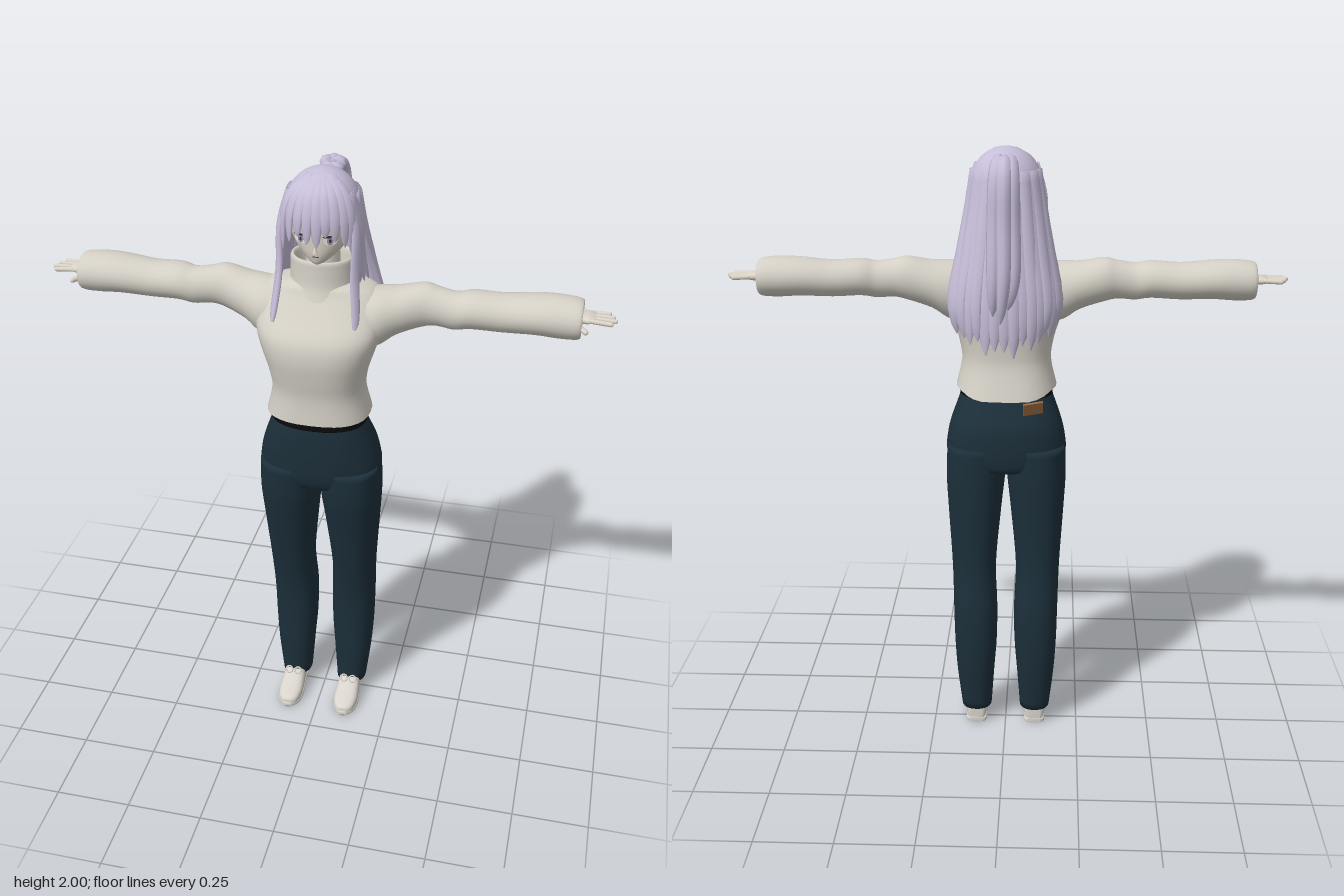
import * as THREE from 'three';

const V = (x, y, z) => new THREE.Vector3(x, y, z);
const mat = (name, color, side = THREE.FrontSide) => {
  const m = new THREE.MeshStandardMaterial({ color, side });
  m.name = name;
  return m;
};

// Skin over rings of points; optional end caps
function skin(rings, capStart = true, capEnd = true) {
  const n = rings[0].length, pos = [], idx = [];
  rings.forEach(r => r.forEach(p => pos.push(p.x, p.y, p.z)));
  for (let i = 0; i < rings.length - 1; i++) for (let j = 0; j < n; j++) {
    const a = i * n + j, b = i * n + (j + 1) % n;
    idx.push(a, b, b + n, a, b + n, a + n);
  }
  const cap = (i, flip) => {
    const c = V(0, 0, 0);
    rings[i].forEach(p => c.addScaledVector(p, 1 / n));
    const k = pos.length / 3;
    pos.push(c.x, c.y, c.z);
    for (let j = 0; j < n; j++) {
      const a = i * n + j, b = i * n + (j + 1) % n;
      flip ? idx.push(k, b, a) : idx.push(k, a, b);
    }
  };
  if (capStart) cap(0, true);
  if (capEnd) cap(rings.length - 1, false);
  const g = new THREE.BufferGeometry();
  g.setAttribute('position', new THREE.Float32BufferAttribute(pos, 3));
  g.setIndex(idx);
  g.computeVertexNormals();
  return g;
}

// Superellipse ring round c with half axes A and B
function ring(c, A, B, e = 2, n = 24) {
  const f = v => Math.sign(v) * Math.abs(v) ** (2 / e);
  return Array.from({ length: n }, (_, j) => {
    const t = j / n * Math.PI * 2;
    return c.clone().addScaledVector(A, f(Math.cos(t))).addScaledVector(B, f(Math.sin(t)));
  });
}

// Resample rows of numbers with a Catmull-Rom spline
function smooth(rows, k = 4) {
  const out = [], at = i => rows[Math.min(Math.max(i, 0), rows.length - 1)];
  for (let i = 0; i < rows.length - 1; i++) for (let s = 0; s < k; s++) {
    const t = s / k;
    out.push(rows[i].map((p, c) => {
      const a = at(i - 1)[c], q = at(i + 1)[c], d = at(i + 2)[c];
      return p + 0.5 * t * (q - a + t * (2 * a - 5 * p + 4 * q - d + t * (3 * (p - q) + d - a)));
    }));
  }
  out.push(rows[rows.length - 1]);
  return out;
}

// Rows [y, xMin, xMax, zBack, zFront], from bottom to top
const upright = (rows, e, cs, ce, k) => skin(smooth(rows, k).map(([y, x0, x1, z0, z1]) =>
  ring(V((x0 + x1) / 2, y, (z0 + z1) / 2), V(0, 0, (z1 - z0) / 2), V((x1 - x0) / 2, 0, 0), e, 32)), cs, ce);

// Tapered, flattened strand whose flat side faces away from the head
function strand(points, width, thick, tip = 0.08, steps = 14) {
  const curve = new THREE.CatmullRomCurve3(points.map(p => V(...p)));
  const rings = [];
  for (let i = 0; i <= steps; i++) {
    const t = i / steps, p = curve.getPoint(t), d = curve.getTangent(t);
    const out = p.clone().sub(V(0, Math.min(p.y, 1.85), 0.03));
    out.addScaledVector(d, -out.dot(d)).normalize();
    const side = d.clone().cross(out);
    const w = t < 0.6 ? 1 : tip + (1 - tip) * Math.sqrt(1 - ((t - 0.6) / 0.4) ** 2);
    rings.push(ring(p, out.multiplyScalar(thick * w), side.multiplyScalar(width * w), 2, 8));
  }
  return skin(rings);
}

export function createModel() {
  const root = new THREE.Group();
  const sweater = mat('sweater wool', 0xd3cfc5, THREE.DoubleSide), skinTone = mat('skin', 0xdcd4c8);
  const hair = mat('lilac hair', 0xc6bdd8), denim = mat('dark trousers', 0x1c2f3a, THREE.DoubleSide);
  const black = mat('black belt', 0x0b0b0d), leather = mat('brown patch', 0x9a6a40);
  const shoeMat = mat('shoe', 0xd8d4cc), dark = mat('lash', 0x37303c);
  const white = mat('eye white', 0xeeece8), iris = mat('iris', 0x9a93a8);
  const add = (name, geo, m, parent = root) => {
    const mesh = new THREE.Mesh(geo, m);
    mesh.name = name;
    parent.add(mesh);
    return mesh;
  };
  const sym = ([y, hx, zb, zf]) => [y, -hx, hx, zb, zf];

  // Sweater body, with the hem hanging lower at the back
  const body = upright([[1.225, 0.165, -0.06, 0.208], [1.31, 0.146, -0.045, 0.205], [1.38, 0.155, -0.045, 0.216],
    [1.45, 0.176, -0.05, 0.224], [1.51, 0.194, -0.055, 0.212], [1.57, 0.198, -0.057, 0.165],
    [1.62, 0.185, -0.05, 0.128], [1.645, 0.15, -0.04, 0.115], [1.66, 0.08, -0.02, 0.1]].map(sym), 2.5, false, true);
  const bp = body.attributes.position;
  for (let i = 0; i < bp.count; i++) {
    const f = Math.max(0, 1 - (bp.getY(i) - 1.225) / 0.08) * Math.min(1, Math.max(0, -bp.getZ(i) / 0.05));
    bp.setY(i, bp.getY(i) - 0.022 * f);
    bp.setZ(i, bp.getZ(i) - 0.018 * f);
  }
  body.computeVertexNormals();
  add('sweater body', body, sweater);
  add('collar', upright([[1.61, 0.112, -0.065, 0.135], [1.65, 0.101, -0.058, 0.121], [1.7, 0.099, -0.055, 0.117],
    [1.725, 0.098, -0.053, 0.116], [1.732, 0.092, -0.047, 0.11], [1.72, 0.084, -0.04, 0.1],
    [1.67, 0.08, -0.036, 0.096]].map(sym), 2, false, false), sweater);

  // Trousers and waistband
  add('trouser seat', upright([[0.945, 0.1, -0.05, 0.13], [0.96, 0.17, -0.072, 0.165], [1.0, 0.198, -0.08, 0.184],
    [1.06, 0.194, -0.08, 0.19], [1.11, 0.182, -0.072, 0.192], [1.17, 0.16, -0.045, 0.191],
    [1.21, 0.147, -0.027, 0.186]].map(sym), 2.3, true, true), denim);
  add('belt', upright([[1.195, 0.153, -0.037, 0.191], [1.215, 0.149, -0.033, 0.19],
    [1.235, 0.146, -0.03, 0.188]].map(sym), 2.3), black);
  const patch = add('waist patch', new THREE.BoxGeometry(0.065, 0.045, 0.008), leather);
  patch.position.set(-0.09, 1.175, -0.05);
  patch.rotation.set(-0.4, 0.25, 0);

  for (const s of [1, -1]) {
    const side = s > 0 ? 'left' : 'right';
    // Leg
    add(side + ' trouser leg', upright([[0.06, 0.05, 0.153, -0.06, 0.06], [0.2, 0.04, 0.168, -0.08, 0.067],
      [0.32, 0.031, 0.175, -0.09, 0.069], [0.45, 0.029, 0.178, -0.09, 0.076], [0.6, 0.034, 0.182, -0.073, 0.105],
      [0.8, 0.016, 0.194, -0.077, 0.15], [0.92, 0.003, 0.2, -0.08, 0.177], [1.03, 0, 0.196, -0.078, 0.186]]
      .map(([y, a, b, c, d]) => [y, Math.min(s * a, s * b), Math.max(s * a, s * b), c, d]), 2.3, true, true), denim);

    // Shoe: rows [z, half width, height]
    const shoe = new THREE.Group();
    shoe.name = side + ' shoe';
    shoe.position.x = s * 0.102;
    root.add(shoe);
    add('shoe upper', skin(smooth([[-0.044, 0.02, 0.08], [-0.035, 0.033, 0.1], [0, 0.036, 0.105], [0.045, 0.038, 0.095],
      [0.08, 0.041, 0.072], [0.12, 0.042, 0.054], [0.155, 0.033, 0.042], [0.172, 0.015, 0.03]])
      .map(([z, w, h]) => ring(V(0, h / 2, z), V(w, 0, 0), V(0, h / 2, 0), 2.7))), shoeMat, shoe);
    add('sole', skin(smooth([[-0.046, 0.02], [-0.035, 0.035], [0.02, 0.035], [0.1, 0.044], [0.15, 0.037], [0.175, 0.014]])
      .map(([z, w]) => ring(V(0, 0.009, z), V(w, 0, 0), V(0, 0.009, 0), 4))), shoeMat, shoe);
    for (const k of [-1, 1]) {
      const bow = add('lace bow', new THREE.TorusGeometry(0.012, 0.003, 6, 12), shoeMat, shoe);
      bow.position.set(k * 0.016, 0.088, 0.073);
      bow.rotation.x = -0.6;
    }

    // Sleeve: rows [x, bottom, top, back, front], turned inward at the cuff
    const sleeve = smooth([[0.08, 1.46, 1.63, -0.04, 0.13], [0.17, 1.45, 1.64, -0.054, 0.135],
      [0.235, 1.49, 1.643, -0.052, 0.108], [0.31, 1.517, 1.657, -0.046, 0.08], [0.355, 1.526, 1.648, -0.036, 0.076],
      [0.41, 1.522, 1.64, -0.033, 0.082], [0.46, 1.53, 1.647, -0.047, 0.087], [0.55, 1.527, 1.643, -0.054, 0.082],
      [0.65, 1.53, 1.652, -0.065, 0.088], [0.72, 1.526, 1.654, -0.063, 0.087], [0.775, 1.528, 1.648, -0.058, 0.084],
      [0.782, 1.54, 1.636, -0.046, 0.072], [0.74, 1.55, 1.625, -0.036, 0.06]]);
    add(side + ' sleeve', skin(sleeve.map(([x, y0, y1, z0, z1]) =>
      ring(V(s * x, (y0 + y1) / 2, (z0 + z1) / 2), V(0, (y1 - y0) / 2, 0), V(0, 0, s * (z1 - z0) / 2))), true, false), sweater);

    // Hand: palm, four fingers and a thumb
    const hand = new THREE.Group();
    hand.name = side + ' hand';
    root.add(hand);
    add('palm', skin([[0.72, 0.02, 0.024], [0.76, 0.015, 0.03], [0.8, 0.013, 0.038], [0.822, 0.008, 0.036]].map(([x, h, w]) =>
      ring(V(s * x, 1.593, 0.006), V(0, h, 0), V(0, 0, s * w), 2.5, 16))), skinTone, hand);
    const digit = (name, a, b, r) => {
      const m = add(name, new THREE.CapsuleGeometry(r, a.distanceTo(b), 4, 8), skinTone, hand);
      m.position.copy(a).lerp(b, 0.5);
      m.quaternion.setFromUnitVectors(V(0, 1, 0), b.clone().sub(a).normalize());
    };
    [0.86, 0.872, 0.88, 0.868].forEach((x, i) => {
      const z = -0.025 + i * 0.02;
      digit('finger', V(s * 0.81, 1.594, z), V(s * x, 1.592, z * 1.15), 0.0075);
    });
    digit('thumb', V(s * 0.755, 1.588, 0.035), V(s * 0.798, 1.58, 0.085), 0.008);

    // Eye: thin layered plates following the cheek
    const eye = new THREE.Group();
    eye.name = side + ' eye';
    eye.position.set(s * 0.044, 1.812, 0.128);
    eye.rotation.y = s * 0.4;
    root.add(eye);
    const plate = (name, w, h, y, z, m) => {
      const p = add(name, new THREE.CircleGeometry(1, 20), m, eye);
      p.scale.set(w, h, 1);
      p.position.set(0, y, z);
    };
    plate('eye white', 0.021, 0.014, 0, 0, white);
    plate('iris', 0.01, 0.013, 0, 0.001, iris);
    plate('pupil', 0.004, 0.006, 0, 0.002, dark);
    plate('upper lash', 0.023, 0.0035, 0.013, 0.002, dark);

    // Long front lock and the side hair over the ear
    add(side + ' front lock', strand([[s * 0.09, 1.93, 0.09], [s * 0.114, 1.84, 0.1], [s * 0.115, 1.7, 0.115],
      [s * 0.124, 1.6, 0.14], [s * 0.13, 1.53, 0.165]], 0.018, 0.009), hair);
    [0.085, 0.06, 0.035].forEach((z, i) => add(side + ' side lock', strand([[s * 0.09, 1.94, z], [s * 0.117, 1.84, z],
      [s * 0.12, 1.75, z - 0.01], [s * (0.122 + i * 0.006), 1.66 - i * 0.01, z - 0.02 - i * 0.012]], 0.022, 0.008), hair));
  }

  // Head, neck, nose and mouth
  add('head', upright([[1.728, 0.012, 0.085, 0.115], [1.738, 0.032, 0.04, 0.122], [1.765, 0.064, -0.02, 0.129],
    [1.8, 0.088, -0.05, 0.132], [1.85, 0.101, -0.07, 0.135], [1.9, 0.098, -0.065, 0.132],
    [1.95, 0.07, -0.03, 0.1]].map(sym), 2), skinTone);
  add('neck', new THREE.CylinderGeometry(0.05, 0.055, 0.14, 20), skinTone).position.set(0, 1.71, 0.03);
  const nose = add('nose', new THREE.ConeGeometry(0.008, 0.024, 8), skinTone);
  nose.position.set(0, 1.783, 0.133);
  add('mouth', new THREE.BoxGeometry(0.018, 0.002, 0.004), dark).position.set(0, 1.757, 0.127);

  // Hair cap, lower at the back than over the brow
  const cap = new THREE.SphereGeometry(1, 40, 20, 0, Math.PI * 2, 0, 1.75);
  const cp = cap.attributes.position;
  for (let i = 0; i < cp.count; i++) {
    let y = cp.getY(i);
    if (cp.getZ(i) > 0.2) y = Math.max(y, 0.25);
    cp.setXYZ(i, cp.getX(i) * 0.116, 1.872 + y * 0.126, 0.028 + cp.getZ(i) * 0.12);
  }
  cap.computeVertexNormals();
  add('hair cap', cap, hair);

  // Fringe
  [-0.098, -0.075, -0.048, -0.02, 0.008, 0.034, 0.06, 0.085, 0.1].forEach((x, i) => {
    const z = 0.03 + 0.124 * Math.sqrt(1 - (x / 0.13) ** 2);
    const end = [1.77, 1.8, 1.825, 1.805, 1.795, 1.83, 1.815, 1.795, 1.77][i];
    add('fringe lock', strand([[x * 0.3, 1.985, 0.06], [x * 0.75, 1.95, 0.03 + (z - 0.03) * 0.78],
      [x, 1.89, z - 0.002], [x * 1.04, end, z + 0.002]], 0.018, 0.007), hair);
  });

  // Long back hair fanned round the back of the head
  for (let i = 0; i < 17; i++) {
    const a = (i / 8 - 1) * 1.5, sn = Math.sin(a), c = Math.cos(a);
    const end = 1.385 + 0.07 * sn * sn + 0.018 * Math.sin(i * 2.4);
    add('back hair lock', strand([[0.1 * sn, 1.93, 0.03 - 0.1 * c], [0.118 * sn, 1.82, 0.022 - 0.12 * c],
      [0.142 * sn, 1.68, -0.025 - 0.1 * c], [0.168 * sn, 1.53, -0.062 - 0.085 * c],
      [0.155 * sn, end, -0.062 - 0.09 * c]], 0.027, 0.011 + 0.003 * (i % 2)), hair);
  }

  // Ponytail
  for (const [x, dz, end] of [[0, 0, 1.49], [-0.022, 0.016, 1.53], [0.024, 0.014, 1.51]]) {
    add('ponytail', strand([[x * 0.4, 1.93, -0.06], [x * 0.7, 1.968, -0.11 + dz], [x, 1.93, -0.155 + dz],
      [x * 1.2, 1.78, -0.173 + dz], [x * 1.3, 1.62, -0.193 + dz], [x + 0.01, end, -0.185 + dz]], 0.024, 0.022, 0.08, 22), hair);
  }
  return root;
}
